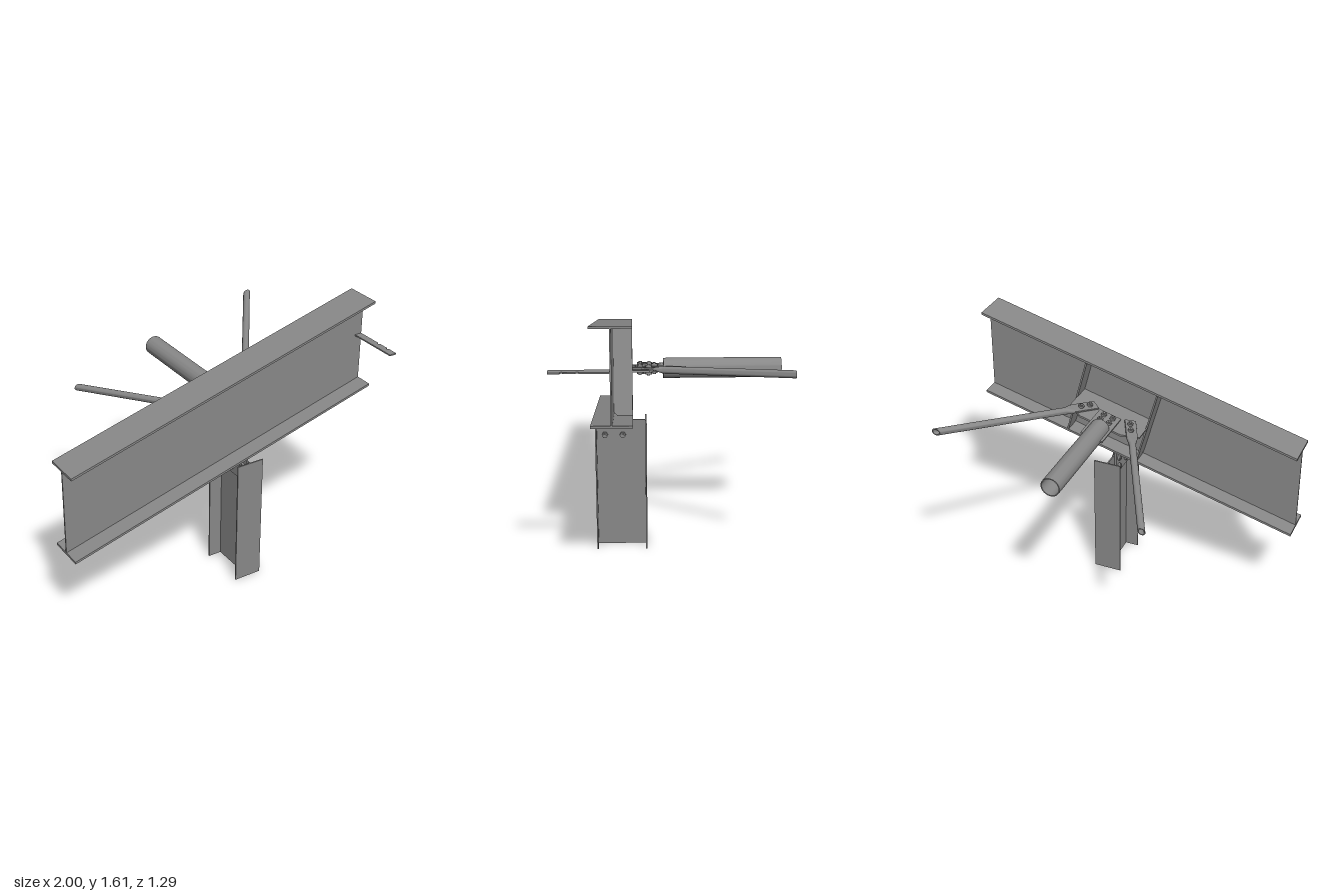
import * as THREE from 'three';
import { toCreasedNormals } from 'three/addons/utils/BufferGeometryUtils.js';

const TILT = Math.PI / 12, COS = Math.cos(TILT), SLOPE = Math.tan(TILT);
const steel = new THREE.MeshStandardMaterial({ color: 0x888888 });

function add(parent, name, geometry) {
  const mesh = new THREE.Mesh(geometry, steel);
  mesh.name = name;
  parent.add(mesh);
  return mesh;
}

// Box given by its limits
function block(parent, name, x0, x1, y0, y1, z0, z1) {
  const mesh = add(parent, name, new THREE.BoxGeometry(x1 - x0, y1 - y0, z1 - z0));
  mesh.position.set((x0 + x1) / 2, (y0 + y1) / 2, (z0 + z1) / 2);
}

function extrude(shape, depth) {
  return new THREE.ExtrudeGeometry(shape, { depth, bevelEnabled: false, curveSegments: 12 });
}

function polygon(points) {
  return new THREE.Shape(points.map(([x, y]) => new THREE.Vector2(x, y)));
}

// Sloping strip with plumb-cut ends; y0 and y1 are its heights at x = 0
function slopedStrip(parent, name, y0, y1, z0, z1) {
  const k = SLOPE;
  const g = extrude(polygon([[-1, y0 - k], [1, y0 + k], [1, y1 + k], [-1, y1 - k]]), z1 - z0);
  g.translate(0, 0, z0);
  add(parent, name, g);
}

// Hex head, shank and nut, clamping from y = -grip to y = grip
function bolt(parent, x, y, z, grip) {
  const g = new THREE.Group();
  g.name = 'bolt';
  g.position.set(x, y, z);
  add(g, 'boltHead', new THREE.CylinderGeometry(0.018, 0.018, 0.014, 6)).position.y = grip + 0.007;
  add(g, 'boltNut', new THREE.CylinderGeometry(0.018, 0.018, 0.014, 6)).position.y = -grip - 0.007;
  add(g, 'boltShank', new THREE.CylinderGeometry(0.009, 0.009, 2 * grip + 0.04, 12));
  parent.add(g);
  return g;
}

// Tube lofted from a flattened end to a round hollow end cut square to z
function braceGeometry(start, end) {
  const n = 32;
  const dir = end.clone().sub(start), length = dir.length();
  dir.normalize();
  const side = new THREE.Vector2(-dir.y, dir.x);
  // distance, half width, half thickness, corner power, height, skewed cut
  const rings = [
    [0, 0.0001, 0.0001, 0.15, 0.007, 0],
    [0, 0.034, 0.006, 0.15, 0.007, 0],
    [0.15, 0.034, 0.006, 0.15, 0.007, 0],
    [0.17, 0.032, 0.011, 0.45, 0.006, 0],
    [0.2, 0.024, 0.019, 0.85, 0.002, 0],
    [0.215, 0.021, 0.021, 1, 0.001, 0],
    [length, 0.021, 0.021, 1, 0, 1],
    [length, 0.016, 0.016, 1, 0, 1],
    [0.25, 0.016, 0.016, 1, 0, 0],
    [0.25, 0.0001, 0.0001, 1, 0, 0]
  ];
  const power = (v, p) => Math.sign(v) * Math.abs(v) ** p;
  const pos = [], index = [];
  rings.forEach(([s, a, b, p, h, cut], r) => {
    for (let i = 0; i < n; i++) {
      const t = (i / n) * Math.PI * 2;
      const q = a * power(Math.cos(t), p);
      const d = s - cut * q * side.y / dir.y;
      pos.push(start.x + dir.x * d + side.x * q, h + b * power(Math.sin(t), p), start.y + dir.y * d + side.y * q);
      if (r === rings.length - 1) continue;
      const j = (i + 1) % n, c = r * n;
      index.push(c + i, c + n + i, c + j, c + j, c + n + i, c + n + j);
    }
  });
  const g = new THREE.BufferGeometry();
  g.setAttribute('position', new THREE.Float32BufferAttribute(pos, 3));
  g.setIndex(index);
  return toCreasedNormals(g, 0.6);
}

export function createModel() {
  const model = new THREE.Group();
  model.name = 'steelConnection';

  // Sloping I-beam
  const beam = new THREE.Group();
  beam.name = 'beam';
  model.add(beam);
  slopedStrip(beam, 'beamBottomFlange', 0.793, 0.807, 0.21, 0.43);
  slopedStrip(beam, 'beamTopFlange', 1.327, 1.341, 0.21, 0.43);
  slopedStrip(beam, 'beamWeb', 0.807, 1.327, 0.3155, 0.3245);

  // I-section column with its bolted fin plate
  const column = new THREE.Group();
  column.name = 'column';
  model.add(column);
  block(column, 'columnFrontFlange', 0.065, 0.238, 0, 0.795, 0.422, 0.43);
  block(column, 'columnBackFlange', 0.065, 0.238, 0, 0.795, 0.13, 0.138);
  block(column, 'columnWeb', 0.147, 0.155, 0, 0.795, 0.138, 0.422);
  block(column, 'finPlate', 0.135, 0.147, 0.655, 0.83, 0.237, 0.41);
  for (const y of [0.702, 0.762])
    for (const z of [0.27, 0.375]) bolt(column, 0.145, y, z, 0.01).rotation.z = -Math.PI / 2;

  // Horizontal end plate with half holes along its cut edge
  const tab = new THREE.Shape();
  tab.moveTo(0.955, 0.32);
  tab.lineTo(1, 0.32);
  for (const z of [0.49, 0.57]) {
    tab.lineTo(1, z - 0.009);
    tab.absarc(1, z, 0.009, -Math.PI / 2, Math.PI / 2, true);
  }
  tab.lineTo(1, 0.641);
  tab.lineTo(0.955, 0.641);
  const tabGeometry = extrude(tab, 0.008);
  tabGeometry.rotateX(Math.PI / 2);
  add(model, 'endPlate', tabGeometry).position.y = 1.366;

  // Bracing joint, lying in the plane of the beam's slope
  const joint = new THREE.Group();
  joint.name = 'bracingJoint';
  joint.position.y = 1.068;
  joint.rotation.z = TILT;
  model.add(joint);
  const u = x => x / COS;

  // Stiffeners with clipped inner corners
  for (const x of [-0.07, 0.382]) {
    const g = extrude(polygon([[0.21, -0.251], [0.295, -0.251], [0.318, -0.227],
      [0.318, 0.227], [0.295, 0.249], [0.21, 0.249]]), 0.01);
    g.rotateY(-Math.PI / 2);
    add(joint, 'stiffener', g).position.x = u(x) + 0.005;
  }

  // Gusset plate
  const gusset = extrude(polygon([[-0.07, 0.318], [-0.07, 0.107], [0.03, 0.053],
    [0.29, 0.053], [0.38, 0.115], [0.38, 0.318]].map(([x, z]) => [u(x), z])), 0.012);
  gusset.rotateX(Math.PI / 2);
  add(joint, 'gussetPlate', gusset);

  // Main hollow strut and its slotted connection plate
  const strut = new THREE.LatheGeometry([[0.052, -0.645], [0.058, -0.645], [0.058, 0.033],
    [0.052, 0.033], [0.052, -0.645]].map(p => new THREE.Vector2(...p)), 48);
  strut.rotateX(Math.PI / 2);
  add(joint, 'mainStrut', toCreasedNormals(strut, 0.6)).position.x = u(0.151);
  block(joint, 'strutPlate', u(0.083), u(0.219), 0.0005, 0.0125, -0.097, 0.178);
  for (const x of [0.122, 0.178])
    for (const z of [0.085, 0.14]) bolt(joint, u(x), 0, z, 0.0125);

  // Diagonal braces with flattened bolted ends
  const braces = [
    { start: [0.034, 0.207], end: [-0.391, -0.645], bolts: [[-0.007, 0.113], [0.019, 0.164]] },
    { start: [0.255, 0.205], end: [0.849, -0.645], bolts: [[0.315, 0.119], [0.281, 0.167]] }
  ];
  for (const b of braces) {
    const [s, e] = [b.start, b.end].map(([x, z]) => new THREE.Vector2(u(x), z));
    add(joint, 'diagonalBrace', braceGeometry(s, e));
    for (const [x, z] of b.bolts) bolt(joint, u(x), 0, z, 0.0125);
  }
  return model;
}
